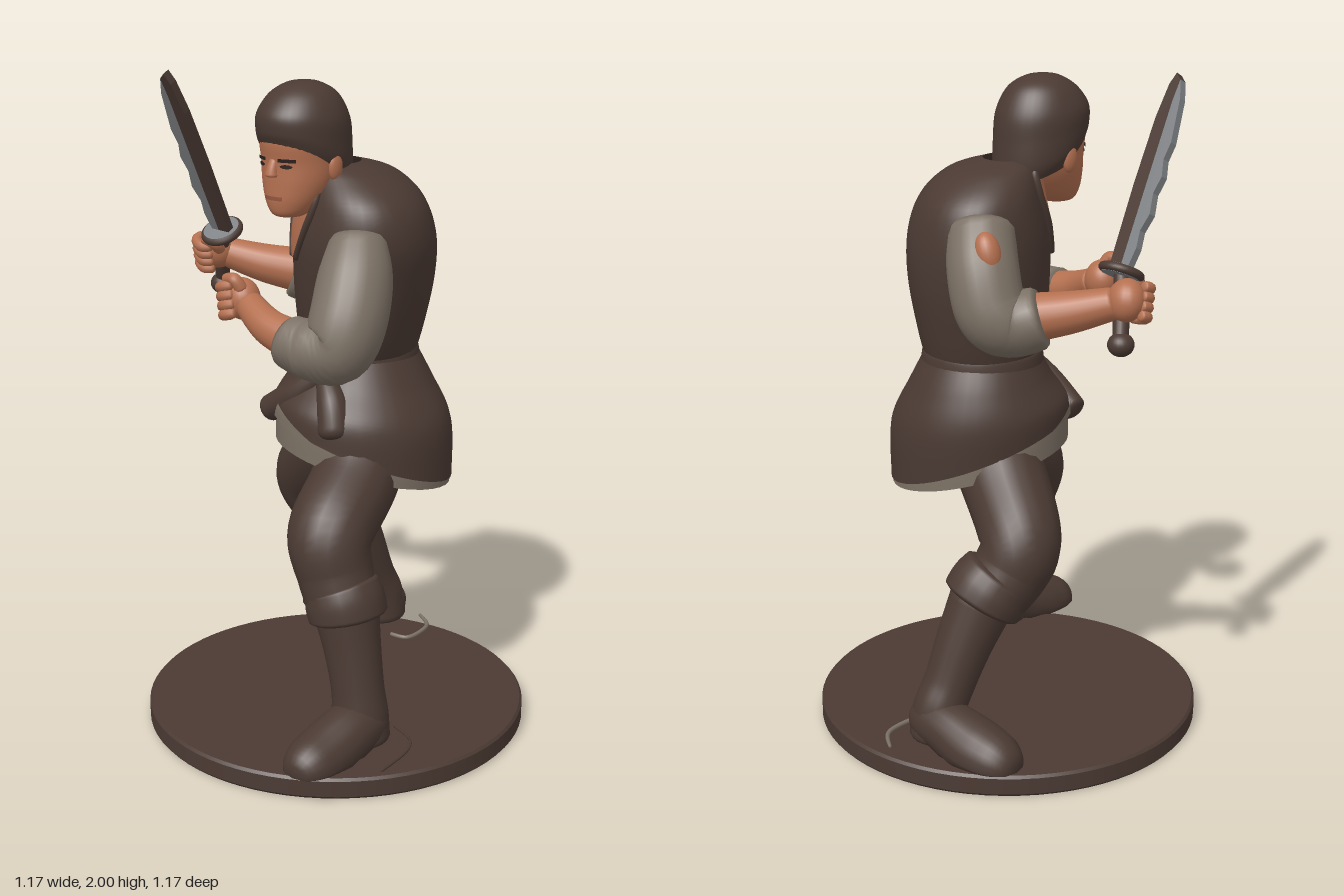
import * as THREE from 'three';
import { mergeVertices } from 'three/addons/utils/BufferGeometryUtils.js';

const mat = (name, color, side = THREE.FrontSide) => {
  const m = new THREE.MeshStandardMaterial({ color, side });
  m.name = name;
  return m;
};

// Catmull-Rom through rows of numbers
function spline(rows, t) {
  const n = rows.length - 1, i = Math.min(n - 1, Math.floor(t * n)), f = t * n - i;
  const at = k => rows[Math.max(0, Math.min(n, k))];
  return rows[0].map((_, c) => {
    const a = at(i - 1)[c], b = at(i)[c], d = at(i + 1)[c], e = at(i + 2)[c];
    return 0.5 * (2 * b + (d - a) * f + (2 * a - 5 * b + 4 * d - e) * f * f + (3 * b - a - 3 * d + e) * f ** 3);
  });
}

// Smooth surface from a function of u (around) and v (along)
function grid(fn, nu, nv) {
  const pos = [], idx = [];
  for (let j = 0; j <= nv; j++) for (let i = 0; i <= nu; i++) pos.push(...fn(i / nu, j / nv));
  for (let j = 0; j < nv; j++) for (let i = 0; i < nu; i++) {
    const a = j * (nu + 1) + i, b = a + nu + 1;
    idx.push(a, b, a + 1, a + 1, b, b + 1);
  }
  let g = new THREE.BufferGeometry();
  g.setAttribute('position', new THREE.Float32BufferAttribute(pos, 3));
  g.setIndex(idx);
  g = mergeVertices(g, 1e-5);
  g.computeVertexNormals();
  return g;
}

// Stacked ellipses, bottom to top: [cx, y, cz, halfWidth, halfDepth, rise towards the front]
const ringPoint = (rings, yaw, off = 0) => (u, v) => {
  const [cx, y, cz, a, b, tilt] = spline(rings, v), th = u * Math.PI * 2;
  const p = (a + off) * Math.cos(th), q = (b + off) * Math.sin(th);
  return [cx + p * Math.cos(yaw) - q * Math.sin(yaw), y + tilt * q, cz + p * Math.sin(yaw) + q * Math.cos(yaw)];
};
const loft = (rings, yaw = 0) => grid(ringPoint(rings, yaw), 40, rings.length * 6);
// Thin painted area on a loft, width may change with height
const patch = (rings, yaw, uMid, half, v0, v1, off = 0.005) => {
  const s = ringPoint(rings, yaw, off);
  return grid((u, v) => s(uMid + (u * 2 - 1) * half(v), v0 + (v1 - v0) * v), 12, 12);
};

// Rounded limb along points [x, y, z, radius]; floor flattens the underside
function limb(rows, cap = 0.08, floor = -1, nu = 20) {
  const first = rows[0], last = rows[rows.length - 1];
  const span = [0, 1, 2].map(k => Math.abs(last[k] - first[k]));
  const ref = new THREE.Vector3().setComponent(span.indexOf(Math.min(...span)), 1);
  return grid((u, v) => {
    const c = spline(rows, v), a = spline(rows, Math.max(0, v - 0.01)), b = spline(rows, Math.min(1, v + 0.01));
    const t = new THREE.Vector3(b[0] - a[0], b[1] - a[1], b[2] - a[2]).normalize();
    const n = t.clone().cross(ref).normalize(), m = n.clone().cross(t);
    const e = Math.min(1, Math.min(v, 1 - v) / cap), r = c[3] * Math.sqrt(1 - (1 - e) ** 2);
    const th = u * Math.PI * 2;
    n.multiplyScalar(r * Math.cos(th)).addScaledVector(m, r * Math.sin(th));
    return [c[0] + n.x, Math.max(floor, c[1] + n.y), c[2] + n.z];
  }, nu, 32);
}

export function createModel() {
  const root = new THREE.Group();
  root.name = 'swordFighter';
  const brown = mat('brown cloth and leather', 0x4b3a33, THREE.DoubleSide);
  const linen = mat('linen', 0x7c7165, THREE.DoubleSide);
  const skin = mat('skin', 0xb47050);
  const lips = mat('lips', 0x94553f, THREE.DoubleSide);
  const dark = mat('dark brown', 0x2c211d, THREE.DoubleSide);
  const steel = mat('steel', 0x808386);
  const add = (name, geo, material, parent = root) => {
    const m = new THREE.Mesh(geo, material);
    m.name = name;
    parent.add(m);
    return m;
  };
  const ball = (name, material, p, s, parent = root) => {
    const m = add(name, new THREE.SphereGeometry(1, 24, 16), material, parent);
    m.position.set(...p);
    m.scale.set(...s);
    return m;
  };

  // Round base with two loose cords
  add('base', new THREE.LatheGeometry([[0, 0], [0.578, 0], [0.585, 0.008], [0.585, 0.057], [0.578, 0.065], [0, 0.065]]
    .flatMap(p => [new THREE.Vector2(...p), new THREE.Vector2(...p)]), 72), brown);
  add('cord', limb([[-0.1, 0.095, -0.57, 0.005], [-0.03, 0.095, -0.52, 0.007], [-0.01, 0.095, -0.45, 0.007],
    [-0.02, 0.095, -0.39, 0.007], [-0.08, 0.095, -0.38, 0.007]], 0.05, -1, 8), linen);
  add('cord', limb([[0.33, 0.095, 0.13, 0.004], [0.42, 0.095, 0.17, 0.004], [0.46, 0.095, 0.24, 0.004],
    [0.475, 0.095, 0.38, 0.004]], 0.05, -1, 8), brown);

  // Legs: trousers, rolled cuffs, boots and feet
  add('leftTrouser', limb([[0.1, 0.93, -0.03, 0.14], [0.15, 0.82, 0.1, 0.13], [0.185, 0.715, 0.25, 0.125],
    [0.22, 0.6, 0.27, 0.112], [0.26, 0.5, 0.27, 0.108]]), brown);
  add('leftCuff', limb([[0.235, 0.58, 0.27, 0.108], [0.255, 0.53, 0.27, 0.118], [0.27, 0.47, 0.27, 0.116]], 0.2), brown);
  add('leftBoot', limb([[0.26, 0.52, 0.275, 0.1], [0.29, 0.4, 0.28, 0.085], [0.315, 0.28, 0.285, 0.078],
    [0.325, 0.2, 0.285, 0.083], [0.33, 0.11, 0.285, 0.085]], 0.05, 0.105), brown);
  add('leftFoot', limb([[0.33, 0.18, 0.21, 0.075], [0.33, 0.165, 0.33, 0.085], [0.32, 0.125, 0.45, 0.088],
    [0.318, 0.105, 0.58, 0.07]], 0.22, 0.105), brown);
  add('rightTrouser', limb([[-0.01, 0.94, -0.1, 0.14], [-0.12, 0.82, -0.13, 0.13], [-0.25, 0.69, -0.19, 0.12],
    [-0.25, 0.6, -0.23, 0.112], [-0.21, 0.52, -0.29, 0.108]]), brown);
  add('rightCuff', limb([[-0.24, 0.6, -0.25, 0.11], [-0.22, 0.55, -0.285, 0.122], [-0.205, 0.5, -0.315, 0.12]], 0.2), brown);
  add('rightBoot', limb([[-0.21, 0.54, -0.29, 0.1], [-0.19, 0.4, -0.355, 0.085], [-0.178, 0.28, -0.405, 0.076],
    [-0.17, 0.2, -0.44, 0.078], [-0.165, 0.11, -0.45, 0.078]], 0.05, 0.105), brown);
  add('rightFoot', limb([[-0.09, 0.175, -0.455, 0.07], [-0.22, 0.165, -0.45, 0.08], [-0.34, 0.125, -0.435, 0.092],
    [-0.475, 0.105, -0.42, 0.07]], 0.22, 0.105), brown);
  ball('hips', brown, [0.04, 0.92, -0.07], [0.18, 0.13, 0.18]);

  // Turned torso: vest, skirt, shirt hem, belt
  const yaw = Math.PI / 4;
  const vest = [[0.02, 1.16, -0.085, 0.174, 0.168, 0], [0.03, 1.25, -0.08, 0.208, 0.188, 0], [0.045, 1.4, -0.075, 0.25, 0.208, 0],
    [0.055, 1.53, -0.066, 0.272, 0.208, 0], [0.05, 1.64, -0.058, 0.25, 0.18, 0], [0.025, 1.715, -0.035, 0.165, 0.135, 0],
    [-0.004, 1.748, 0.005, 0.085, 0.08, 0]];
  const skirt = [[0.052, 0.885, -0.066, 0.268, 0.27, 0.38], [0.047, 1, -0.073, 0.266, 0.265, 0.15],
    [0.03, 1.1, -0.085, 0.22, 0.212, 0.05], [0.02, 1.19, -0.085, 0.172, 0.167, 0]];
  add('vest', loft(vest, yaw), brown);
  add('skirt', loft(skirt, yaw), brown);
  add('shirtHem', loft([[0.052, 0.838, -0.066, 0.262, 0.265, 0.26], [0.052, 0.9, -0.066, 0.261, 0.263, 0.36],
    [0.05, 0.94, -0.07, 0.25, 0.25, 0.25]], yaw), linen);
  add('shirtFront', patch(skirt, yaw, 0.235, v => 0.125 * (1 - v) + 0.005, 0, 0.36), linen);
  add('belt', loft([[0.02, 1.13, -0.085, 0.18, 0.176, 0], [0.02, 1.145, -0.085, 0.186, 0.182, 0],
    [0.02, 1.185, -0.085, 0.182, 0.178, 0], [0.02, 1.2, -0.085, 0.172, 0.167, 0]], yaw), brown);
  ball('beltKnot', brown, [0.045, 1.135, 0.1], [0.055, 0.05, 0.035]);
  add('beltTail', limb([[0.04, 1.14, 0.1, 0.03], [-0.05, 1.06, 0.12, 0.045], [-0.17, 0.985, 0.12, 0.04]], 0.1), brown);
  add('beltTail', limb([[0.04, 1.14, 0.105, 0.025], [0.1, 1.06, 0.14, 0.045], [0.13, 0.96, 0.165, 0.05]], 0.2), brown);

  // Open neck with vest borders
  const neckHalf = v => 0.008 + 0.11 * v ** 0.8;
  const neckMid = 0.228;
  add('openNeck', patch(vest, yaw, neckMid, neckHalf, 0.42, 0.96, 0.007), skin);
  const edge = ringPoint(vest, yaw, 0.003);
  for (const s of [-1, 1]) {
    const rows = [0, 0.25, 0.5, 0.75, 1].map(v => [...edge(neckMid + s * (neckHalf(v) + 0.005), 0.41 + 0.55 * v), 0.011]);
    add('vestBorder', limb(rows, 0.05, -1, 10), brown);
  }

  // Neck and head
  add('neck', limb([[0, 1.64, 0, 0.07], [-0.015, 1.7, 0.05, 0.068], [-0.03, 1.78, 0.09, 0.078]]), skin);
  const face = [[-0.036, 1.603, 0.165, 0.005, 0.005, 0], [-0.036, 1.61, 0.165, 0.045, 0.048, 0], [-0.036, 1.645, 0.145, 0.078, 0.082, 0],
    [-0.036, 1.7, 0.122, 0.104, 0.106, 0], [-0.036, 1.76, 0.105, 0.116, 0.122, 0], [-0.036, 1.83, 0.1, 0.12, 0.132, 0],
    [-0.036, 1.9, 0.1, 0.09, 0.1, 0]];
  add('face', loft(face, 0.08), skin);
  add('hair', loft([[-0.036, 1.727, 0.085, 0.11, 0.128, 0.39], [-0.036, 1.766, 0.09, 0.126, 0.143, 0.37],
    [-0.037, 1.82, 0.097, 0.13, 0.148, 0.2], [-0.038, 1.885, 0.1, 0.126, 0.143, 0.08], [-0.038, 1.945, 0.1, 0.095, 0.105, 0],
    [-0.038, 1.977, 0.1, 0.045, 0.05, 0], [-0.038, 1.982, 0.1, 0.001, 0.001, 0]]), brown);
  add('nose', limb([[-0.045, 1.775, 0.215, 0.014], [-0.046, 1.745, 0.226, 0.017], [-0.047, 1.722, 0.228, 0.022]], 0.25, -1, 12), skin);
  for (const s of [-1, 1]) {
    add('brow', patch(face, 0.08, 0.25 + s * 0.068, () => 0.036, 0.685, 0.71, 0.004), dark);
    add('eye', patch(face, 0.08, 0.25 + s * 0.066, v => 0.026 * Math.sin(Math.PI * (0.1 + 0.8 * v)), 0.64, 0.67, 0.004), dark);
    ball('ear', skin, [-0.036 + s * 0.116, 1.75, 0.1], [0.016, 0.042, 0.026]);
  }
  add('mouth', patch(face, 0.08, 0.25, () => 0.06, 0.375, 0.41, 0.004), lips);

  // Sleeves and forearms
  add('leftSleeve', limb([[0.185, 1.575, 0.125, 0.075], [0.215, 1.47, 0.175, 0.105], [0.235, 1.35, 0.235, 0.11],
    [0.22, 1.275, 0.27, 0.1], [0.14, 1.27, 0.295, 0.086], [0.06, 1.285, 0.3, 0.074]], 0.05), linen);
  add('leftForearm', limb([[0.12, 1.28, 0.3, 0.062], [0, 1.31, 0.3, 0.052], [-0.11, 1.355, 0.265, 0.042]]), skin);
  add('rightSleeve', limb([[-0.09, 1.59, -0.19, 0.095], [-0.15, 1.48, -0.24, 0.102], [-0.195, 1.37, -0.25, 0.102],
    [-0.235, 1.335, -0.21, 0.098], [-0.305, 1.355, -0.15, 0.086]], 0.05), linen);
  add('rightForearm', limb([[-0.25, 1.345, -0.18, 0.072], [-0.36, 1.37, -0.1, 0.06], [-0.47, 1.405, -0.03, 0.045]]), skin);
  const tear = ball('sleeveTear', skin, [-0.2, 1.535, -0.268], [0.038, 0.062, 0.038]);
  tear.rotation.z = -0.3;

  // Fists: palm, four curled fingers and a thumb
  function fist(name, p, turn) {
    const g = new THREE.Group();
    g.name = name;
    ball('palm', skin, [0, 0, 0], [0.058, 0.062, 0.052], g);
    for (let i = 0; i < 4; i++) {
      const y = 0.04 - i * 0.027;
      add('finger', limb([[-0.045, y, 0.02, 0.016], [-0.035, y, 0.05, 0.017], [0.005, y, 0.058, 0.017], [0.03, y, 0.035, 0.014]], 0.12, -1, 10), skin, g);
    }
    add('thumb', limb([[0.035, 0.02, 0.01, 0.02], [0.035, 0.055, 0.03, 0.019], [0, 0.062, 0.05, 0.015]], 0.15, -1, 10), skin, g);
    g.position.set(...p);
    g.rotation.set(...turn);
    root.add(g);
  }
  fist('leftFist', [-0.135, 1.363, 0.26], [0, -0.5, 0.3]);
  fist('rightFist', [-0.487, 1.412, -0.015], [0.3, -0.3, -0.2]);

  // Sword: grip, pommel, guard and two-tone blade
  add('grip', limb([[-0.5, 1.3, -0.05, 0.022], [-0.47, 1.39, -0.015, 0.024], [-0.44, 1.48, 0.015, 0.022]], 0.05), brown);
  ball('pommel', brown, [-0.502, 1.295, -0.05], [0.038, 0.034, 0.038]);
  const sword = new THREE.Group();
  sword.name = 'sword';
  sword.position.set(-0.44, 1.48, 0.015);
  sword.quaternion.setFromUnitVectors(new THREE.Vector3(0, 1, 0), new THREE.Vector3(0.03, 0.51, 0.27).normalize());
  add('guard', new THREE.CylinderGeometry(0.056, 0.056, 0.026, 32), steel, sword);
  const rim = add('guardRim', new THREE.TorusGeometry(0.054, 0.013, 10, 32), brown, sword);
  rim.rotation.x = Math.PI / 2;
  const blade = (name, pts, material) => {
    const g = new THREE.ExtrudeGeometry(new THREE.Shape(pts.map(p => new THREE.Vector2(...p))),
      { depth: 0.024, bevelEnabled: false });
    add(name, g.translate(0, 0, -0.012), material, sword);
  };
  blade('bladeSpine', [[0, 0], [0.04, 0], [0.045, 0.25], [0.042, 0.45], [0.03, 0.55], [0.015, 0.584], [-0.005, 0.565], [0, 0.5]], brown);
  blade('bladeEdge', [[0, 0], [0, 0.5], [-0.005, 0.565], [-0.025, 0.51], [-0.042, 0.38], [-0.034, 0.33], [-0.047, 0.28],
    [-0.035, 0.23], [-0.046, 0.17], [-0.03, 0.12], [-0.036, 0.07], [-0.025, 0]], steel);
  root.add(sword);

  return root;
}
